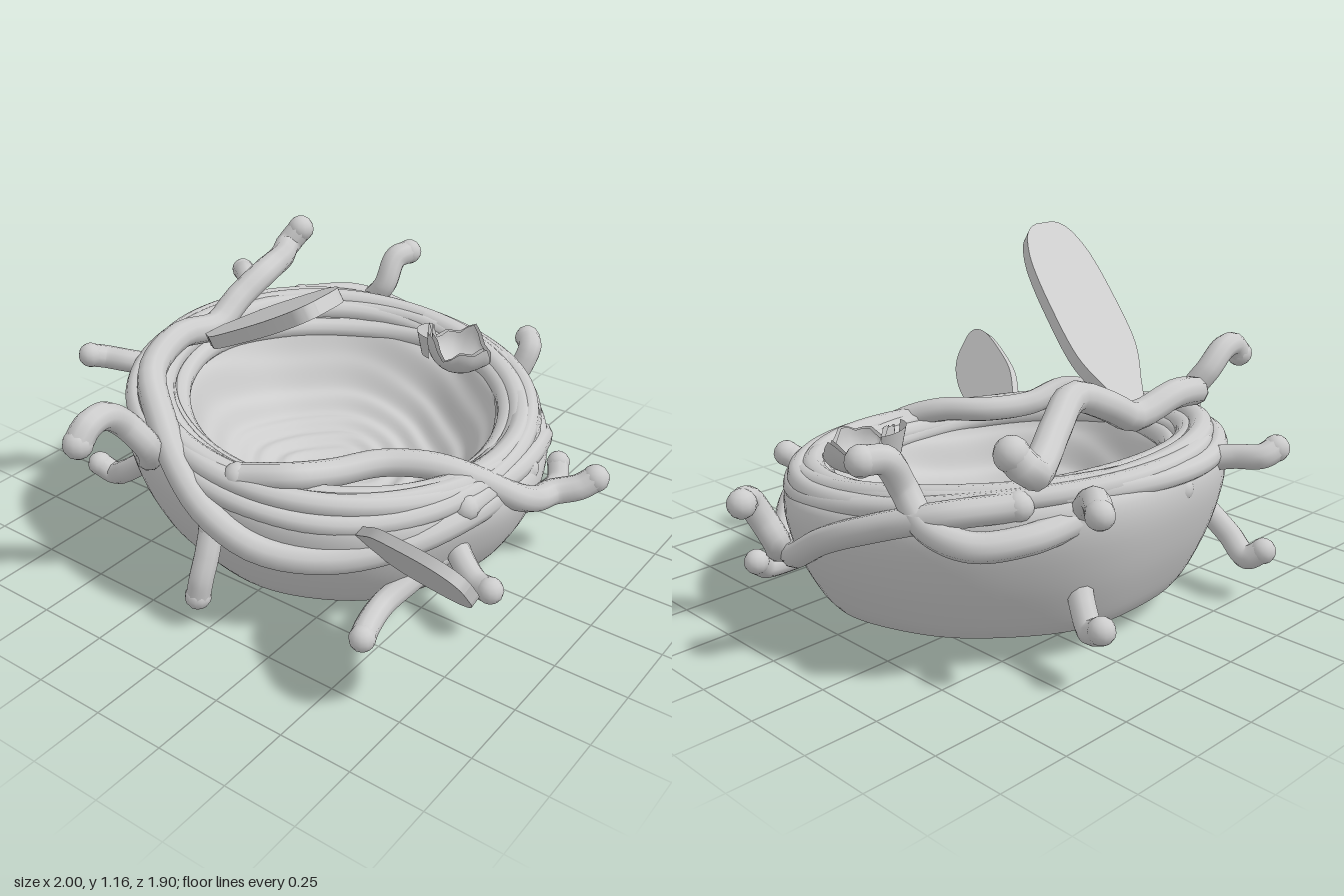
import * as THREE from 'three';
import { mergeVertices } from 'three/addons/utils/BufferGeometryUtils.js';

const V = (x, y, z) => new THREE.Vector3(x, y, z);
const CX = 0.08, CZ = -0.08;

// height inside the tilted nest: h = 0 is the underside, h = 1 the rim
const nestY = (z, h) => THREE.MathUtils.lerp(0.045 - 0.065 * z, 0.495 - 0.135 * z, h);

export function createModel() {
  const group = new THREE.Group();
  const clay = new THREE.MeshStandardMaterial({ color: 0xcccccc });
  clay.name = 'pale grey';
  const clayTwoSided = new THREE.MeshStandardMaterial({ color: 0xcccccc, side: THREE.DoubleSide });
  clayTwoSided.name = 'pale grey shell';

  const add = (name, geometry, material = clay, parent = group) => {
    const mesh = new THREE.Mesh(geometry, material);
    mesh.name = name;
    parent.add(mesh);
    return mesh;
  };

  // turned profile of [radius, h] bent onto the tilted nest
  const turned = (profile, grooves) => {
    let g = new THREE.LatheGeometry(profile, 96);
    const p = g.attributes.position;
    for (let i = 0; i < p.count; i++) {
      const x = p.getX(i), h = p.getY(i), z = p.getZ(i);
      const r = Math.hypot(x, z), a = Math.atan2(z, x);
      const k = 1 + 0.01 * Math.sin(5 * a + 1) + 0.006 * Math.sin(9 * a);
      const zz = z * k + CZ;
      const fade = Math.min(1, r * 5);
      const dy = grooves ? 0.007 * fade * Math.sin(75 * r + 3 * a + Math.sin(4 * a)) : 0;
      p.setXYZ(i, x * k * 1.02 + CX, nestY(zz, h) + dy, zz);
    }
    g.deleteAttribute('normal');
    g.deleteAttribute('uv');
    g = mergeVertices(g, 1e-4);
    g.computeVertexNormals();
    return g;
  };
  const smooth = (pts, n) =>
    new THREE.SplineCurve(pts.map(([r, h]) => new THREE.Vector2(r, h))).getPoints(n);

  // bowl: flat base, outer wall and grooved hollow
  add('base', turned([[0, 0], [0.3, 0], [0.61, 0]].map(([r, h]) => new THREE.Vector2(r, h))));
  add('outerWall', turned(smooth([[0.61, 0], [0.65, 0.12], [0.71, 0.4], [0.745, 0.7], [0.73, 0.9], [0.66, 0.98]], 20)));
  add('hollow', turned(smooth([[0.66, 0.98], [0.59, 0.93], [0.535, 0.78], [0.45, 0.5], [0.34, 0.31], [0.18, 0.23], [0, 0.2]], 70), true));

  // round-ended twig along a smooth path
  const twig = (name, points, radius) => {
    const path = new THREE.CatmullRomCurve3(points.map((p) => V(...p)), false, 'centripetal');
    const part = new THREE.Group();
    part.name = name;
    add('stem', new THREE.TubeGeometry(path, 64, radius, 10), clay, part);
    for (const end of [points[0], points[points.length - 1]])
      add('tip', new THREE.SphereGeometry(radius * 1.06, 12, 8).translate(...end), clay, part);
    group.add(part);
  };

  // strands winding right round the rim, crossing over each other
  const rim = new THREE.Group();
  rim.name = 'rimStrands';
  group.add(rim);
  for (let i = 0; i < 8; i++) {
    const pts = [];
    for (let j = 0; j < 24; j++) {
      const a = (j / 24) * Math.PI * 2;
      const r = 0.58 + 0.0155 * i + 0.018 * Math.sin(a + i * 2.4) + 0.008 * Math.sin(3 * a + i);
      const h = r < 0.66 ? 1 - 14 * (0.66 - r) ** 2 : 1 - 40 * (r - 0.66) ** 2;
      const z = CZ + r * Math.sin(a);
      pts.push(V(CX + 1.04 * r * Math.cos(a), nestY(z, h) - 0.012 + 0.012 * Math.sin(2 * a + i * 1.7), z));
    }
    const loop = new THREE.CatmullRomCurve3(pts, true);
    add('rimStrand', new THREE.TubeGeometry(loop, 96, 0.04 + 0.005 * Math.sin(i * 5), 10, true), clay, rim);
  }

  // long loose twigs
  twig('frontTwig', [[-0.6, 0.5, 0.02], [-0.52, 0.52, 0.18], [-0.37, 0.48, 0.23], [-0.22, 0.47, 0.31], [-0.12, 0.46, 0.45],
    [-0.04, 0.41, 0.58], [0.06, 0.33, 0.67], [0.17, 0.275, 0.685], [0.25, 0.265, 0.7], [0.31, 0.28, 0.77], [0.35, 0.31, 0.81]], 0.046);
  twig('backTwig', [[0.2, 0.35, 0.61], [-0.1, 0.34, 0.6], [-0.38, 0.3, 0.48], [-0.55, 0.28, 0.32], [-0.66, 0.31, 0.14],
    [-0.69, 0.39, -0.03], [-0.66, 0.48, -0.17], [-0.58, 0.58, -0.32], [-0.45, 0.66, -0.48], [-0.25, 0.7, -0.54],
    [-0.05, 0.67, -0.54], [0.07, 0.73, -0.54], [0.22, 0.79, -0.53], [0.4, 0.75, -0.62], [0.55, 0.71, -0.71],
    [0.64, 0.71, -0.76], [0.69, 0.77, -0.73]], 0.05);
  twig('rightSideTwig', [[-0.95, 0.67, -0.31], [-0.91, 0.71, -0.31], [-0.83, 0.71, -0.32], [-0.75, 0.65, -0.32], [-0.69, 0.55, -0.28],
    [-0.63, 0.46, -0.34], [-0.51, 0.43, -0.49], [-0.25, 0.45, -0.7], [0, 0.5, -0.77]], 0.046);
  twig('leftBackTwig', [[0.89, 0.7, -0.33], [0.82, 0.69, -0.35], [0.76, 0.59, -0.36], [0.76, 0.5, -0.45],
    [0.71, 0.46, -0.58], [0.57, 0.47, -0.68], [0.35, 0.5, -0.72]], 0.046);
  twig('leftTwig', [[0.95, 0.44, 0.2], [0.9, 0.43, 0.24], [0.86, 0.36, 0.23], [0.83, 0.28, 0.2], [0.78, 0.22, 0.26], [0.67, 0.21, 0.38],
    [0.56, 0.28, 0.48], [0.38, 0.35, 0.56], [0.15, 0.38, 0.61], [-0.15, 0.37, 0.59]], 0.046);
  twig('leftWallTwig', [[0.72, 0.2, 0.28], [0.81, 0.25, 0.12], [0.84, 0.37, -0.08], [0.82, 0.46, -0.28], [0.73, 0.53, -0.48],
    [0.55, 0.55, -0.62]], 0.044);

  // short twigs poking out around the wall
  const shorts = [
    [[0.34, 0.1, 0.45], [0.43, 0.07, 0.47], [0.55, 0.035, 0.51], [0.66, 0.035, 0.52], [0.72, 0.08, 0.49]],
    [[-0.59, 0.08, 0.5], [-0.53, 0.085, 0.48], [-0.42, 0.09, 0.46], [-0.3, 0.13, 0.49], [-0.1, 0.22, 0.56]],
    [[-0.26, 0.18, 0.76], [-0.24, 0.17, 0.7], [-0.18, 0.2, 0.6], [-0.1, 0.26, 0.5]],
    [[-0.75, 0.1, -0.04], [-0.74, 0.17, -0.03], [-0.71, 0.24, -0.03], [-0.67, 0.32, -0.04]],
    [[-0.43, 0.17, -0.81], [-0.41, 0.14, -0.76], [-0.43, 0.19, -0.67], [-0.42, 0.28, -0.55]],
    [[-0.36, 0.57, -0.88], [-0.31, 0.55, -0.86], [-0.27, 0.54, -0.78], [-0.2, 0.52, -0.68]],
    [[0.53, 0.6, -0.91], [0.48, 0.61, -0.85], [0.43, 0.57, -0.78], [0.36, 0.5, -0.7]],
    [[0.43, 0.19, -0.84], [0.42, 0.17, -0.79], [0.39, 0.22, -0.73], [0.34, 0.31, -0.66]],
  ];
  shorts.forEach((points) => twig('shortTwig', points, 0.042));

  // flat feather: outline spans a width vector along a base-to-tip line
  const feather = (name, base, tip, width, thickness) => {
    const half = [[0, 0.1], [0.05, 0.28], [0.14, 0.5], [0.32, 0.9], [0.58, 0.98], [0.79, 0.93], [0.92, 0.74], [0.98, 0.5], [1, 0.25]];
    const side = (s) => half.map(([y, w]) => new THREE.Vector2((s * w) / 2, y));
    const shape = new THREE.Shape();
    shape.moveTo(-0.05, 0);
    shape.lineTo(0.05, 0);
    shape.splineThru(side(1).slice(1));
    shape.lineTo(-0.125, 1);
    shape.splineThru(side(-1).reverse().slice(1));
    const g = new THREE.ExtrudeGeometry(shape, { depth: 1, bevelEnabled: false, curveSegments: 24 });
    const length = tip.clone().sub(base);
    const normal = width.clone().cross(length).normalize().multiplyScalar(thickness);
    const m = new THREE.Matrix4().makeBasis(width, length, normal);
    m.setPosition(base.clone().addScaledVector(normal, -0.5));
    add(name, g.applyMatrix4(m));
  };
  feather('largeFeather', V(-0.09, 0.64, -0.53), V(-0.49, 1.13, 0.29), V(0.33, 0, 0), 0.045);
  feather('smallFeather', V(-0.44, 0.34, 0.37), V(-0.7, 0.51, 0.94), V(-0.17, 0.23, 0), 0.035);

  // broken eggshell: jagged inner and outer cups with a loose shard behind
  const shell = new THREE.Group();
  shell.name = 'eggshell';
  const cup = (radius) => {
    const g = new THREE.SphereGeometry(radius, 28, 10, 0, Math.PI * 2, Math.PI * 0.5, Math.PI * 0.5);
    const p = g.attributes.position;
    for (let i = 0; i < p.count; i++) {
      const a = Math.atan2(p.getZ(i), p.getX(i));
      const up = Math.max(0, 1 + p.getY(i) / radius);
      const jag = 0.03 * Math.sin(3 * a + 1) + 0.015 * Math.sin(7 * a) - 0.02 * Math.sin(a);
      p.setY(i, p.getY(i) * 0.9 + jag * up * up);
    }
    g.computeVertexNormals();
    return g;
  };
  add('shellOutside', cup(0.125), clayTwoSided, shell);
  add('shellInside', cup(0.108), clayTwoSided, shell);
  const shard = new THREE.CylinderGeometry(0.09, 0.06, 0.09, 12, 2, true, Math.PI * 0.7, Math.PI * 0.7);
  add('shard', shard, clayTwoSided, shell).position.set(-0.03, -0.01, -0.07);
  shell.position.set(0.53, 0.565, 0.14);
  shell.rotation.set(0.1, 0.3, -0.12);
  group.add(shell);

  return group;
}
